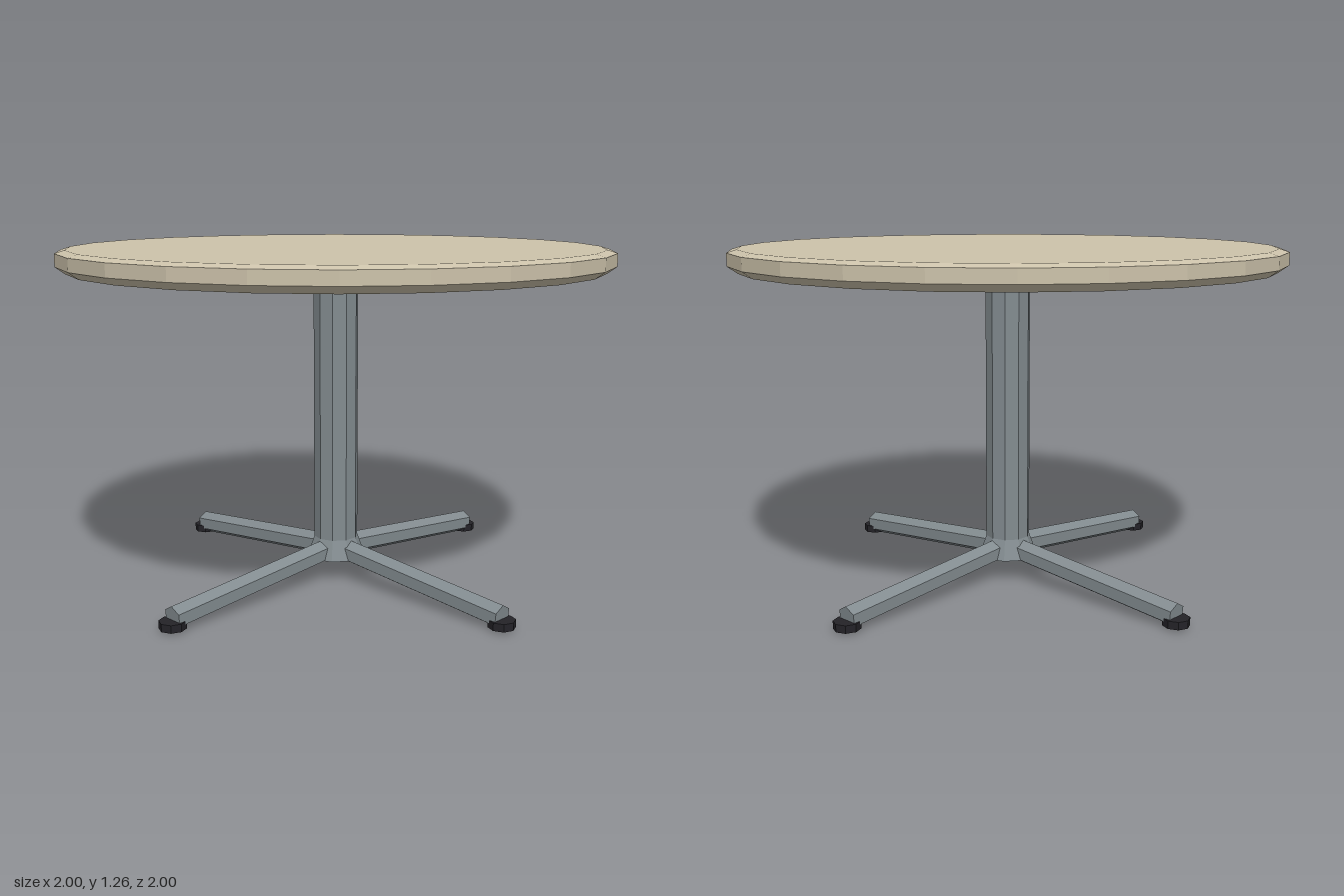
import * as THREE from 'three';

const material = (name, color) =>
  new THREE.MeshStandardMaterial({ name, color, flatShading: true });

// Solid of revolution from [radius, height] pairs, listed bottom to top
function turned(name, profile, sides, mat) {
  const points = profile.map(([r, y]) => new THREE.Vector2(r, y));
  const geometry = new THREE.LatheGeometry(points, sides);
  geometry.rotateY(Math.PI / 2); // a corner faces +x
  const mesh = new THREE.Mesh(geometry, mat);
  mesh.name = name;
  return mesh;
}

export function createModel() {
  const wood = material('pale wood', 0xcdc3ab);
  const metal = material('grey metal', 0x838c90);
  const rubber = material('black rubber', 0x242328);

  const table = new THREE.Group();
  table.name = 'pedestalTable';

  // Round top with bevelled rims
  table.add(turned('tableTop',
    [[0, 1.175], [0.965, 1.175], [1, 1.2], [1, 1.246], [0.965, 1.257], [0, 1.257]], 24, wood));

  // Ten-sided post, its mounting plate and flared hub
  table.add(turned('post', [[0.083, 0.14], [0.083, 1.17]], 10, metal));
  table.add(turned('mountingPlate', [[0.083, 1.157], [0.2, 1.175]], 10, metal));
  table.add(turned('hub', [[0, 0.085], [0.11, 0.085], [0.083, 0.16]], 10, metal));

  // Four sloping hexagonal legs, each with a foot pad
  const reach = 0.787, innerY = 0.117, endY = 0.044;
  const length = Math.hypot(reach, innerY - endY);
  const legGeometry = new THREE.CylinderGeometry(0.043, 0.043, length, 6);
  legGeometry.rotateX(-Math.PI / 2); // lies along z with a ridge on top
  for (let i = 0; i < 4; i++) {
    const arm = new THREE.Group();
    arm.name = 'legWithFoot';
    const leg = new THREE.Mesh(legGeometry, metal);
    leg.name = 'leg';
    leg.position.set(0, (innerY + endY) / 2, reach / 2);
    leg.rotation.x = Math.atan2(innerY - endY, reach);
    const foot = turned('foot',
      [[0, 0.008], [0.048, 0.008], [0.048, 0.036], [0, 0.036]], 8, rubber);
    foot.position.z = reach;
    arm.add(leg, foot);
    arm.rotation.y = i * Math.PI / 2;
    table.add(arm);
  }
  return table;
}
